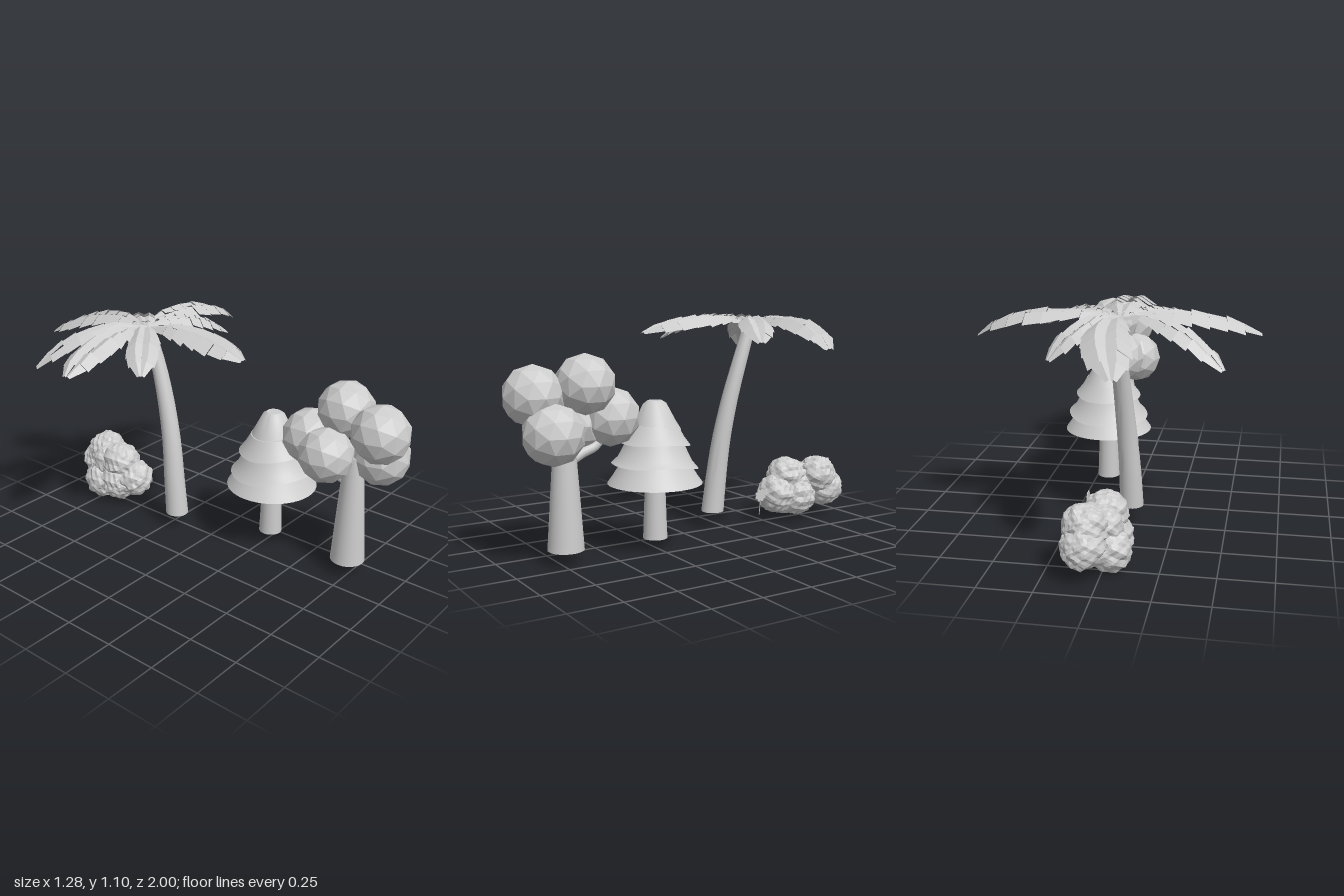
import * as THREE from 'three';
import { toCreasedNormals } from 'three/addons/utils/BufferGeometryUtils.js';

const V = (x, y, z) => new THREE.Vector3(x, y, z);

export function createModel() {
  const model = new THREE.Group();
  const clay = new THREE.MeshStandardMaterial({ color: 0xcccccc, side: THREE.DoubleSide });
  clay.name = 'light grey';

  function group(name) {
    const g = new THREE.Group();
    g.name = name;
    model.add(g);
    return g;
  }
  function add(parent, name, geometry, position = [0, 0, 0]) {
    const mesh = new THREE.Mesh(geometry, clay);
    mesh.name = name;
    mesh.position.set(...position);
    parent.add(mesh);
    return mesh;
  }
  // Move every vertex of a geometry by a rule
  function reshape(geometry, rule) {
    const p = geometry.attributes.position;
    const v = V();
    for (let i = 0; i < p.count; i++) {
      rule(v.fromBufferAttribute(p, i));
      p.setXYZ(i, v.x, v.y, v.z);
    }
    return geometry;
  }
  // Tapered trunk following a curve, with level ends
  function trunk(points, rBottom, rTop) {
    const curve = new THREE.CatmullRomCurve3(points);
    const g = new THREE.CylinderGeometry(rTop, rBottom, 1, 24, 12);
    reshape(g, v => {
      const c = curve.getPoint(THREE.MathUtils.clamp(v.y + 0.5, 0, 1));
      v.set(c.x + v.x, c.y, c.z + v.z);
    });
    return toCreasedNormals(g, 0.7);
  }

  // Round tree: trunk, side branch and five faceted leaf balls
  const roundTree = group('roundTree');
  add(roundTree, 'roundTreeTrunk', trunk([V(0.16, 0.068, 0.725), V(0.16, 0.35, 0.725), V(0.16, 0.62, 0.725)], 0.084, 0.045));
  const branch = new THREE.CatmullRomCurve3([V(0.16, 0.46, 0.71), V(0.16, 0.5, 0.64), V(0.16, 0.53, 0.57), V(0.155, 0.62, 0.51)]);
  add(roundTree, 'branch', new THREE.TubeGeometry(branch, 12, 0.023, 10));
  const balls = [
    [0.145, 0.77, 0.86, 0.14], [0.207, 0.815, 0.64, 0.138], [0.25, 0.61, 0.815, 0.14],
    [0.15, 0.655, 0.49, 0.14], [0.075, 0.625, 0.625, 0.135],
  ];
  for (const [x, y, z, r] of balls) {
    const g = new THREE.IcosahedronGeometry(r, 1);
    g.computeVertexNormals();
    add(roundTree, 'leafBall', g, [x, y, z]);
  }

  // Pine: trunk and four flared tiers with wavy, tilted rims
  const pine = group('pine');
  pine.position.set(0.163, 0, 0.262);
  add(pine, 'pineTrunk', trunk([V(0, 0.057, 0), V(0, 0.2, 0), V(0, 0.36, 0)], 0.058, 0.047));
  function tier(profile, tilt, turn) {
    const points = profile.map(([r, y]) => new THREE.Vector2(r, y));
    const rim = profile[1][0];
    const g = reshape(new THREE.LatheGeometry(points, 40), v => {
      const k = Math.hypot(v.x, v.z) / rim;
      const a = Math.atan2(v.z, v.x) + turn;
      v.y += tilt * k * k * (Math.sin(a) + 0.35 * Math.sin(3 * a));
    });
    add(pine, 'tier', toCreasedNormals(g, 0.6));
  }
  tier([[0, 0.325], [0.225, 0.325], [0.2, 0.36], [0.165, 0.415], [0.14, 0.46], [0, 0.48]], 0, 0);
  tier([[0, 0.42], [0.206, 0.408], [0.175, 0.44], [0.145, 0.5], [0.12, 0.56], [0, 0.57]], 0.018, 0.5);
  tier([[0, 0.53], [0.168, 0.513], [0.138, 0.55], [0.11, 0.6], [0, 0.61]], 0.012, 0.5);
  tier([[0, 0.585], [0.123, 0.57], [0.095, 0.62], [0.055, 0.7], [0.034, 0.715], [0, 0.715]], 0.01, 2);

  // Palm: curved trunk and eight drooping fronds
  const palm = group('palm');
  add(palm, 'palmTrunk', trunk([
    V(-0.038, 0.086, -0.2), V(-0.033, 0.28, -0.22), V(-0.022, 0.47, -0.243), V(-0.01, 0.68, -0.287),
    V(-0.002, 0.87, -0.342), V(-0.005, 1.05, -0.405),
  ], 0.058, 0.033));
  const crown = V(-0.02, 1.05, -0.4);
  let seed = 7;
  const rand = () => (seed = (seed * 16807) % 2147483647) / 2147483647;
  const blade = [0.14, 0.4, 0.65, 0.85, 1, 1, 0.95, 0.72, 0.2];
  // Half cross-section of a frond: midrib, raised shoulder, drooping edge (across, up)
  const section = [[0, -0.12], [0.42, 0.06], [1, -0.34]];

  // Each frond is a creased blade of separate leaflets with a stepped edge
  function frond(tip, width, bend, curl) {
    const along = tip.clone().sub(crown).setY(0);
    const side = V(along.z, 0, -along.x).normalize();
    const drop = crown.y - tip.y + 0.035;
    const steps = blade.length - 1;
    const point = (i, s, [across, up], scale, lift) => {
      const t = i / steps;
      const w = width * blade[i] * scale;
      return crown.clone().addScaledVector(along, t)
        .addScaledVector(side, bend * Math.sin(Math.PI * t) + s * across * w)
        .setY(crown.y + 0.035 * Math.min(1, 4 * t) - drop * t ** curl + up * w + lift);
    };
    const corners = [];
    for (const s of [-1, 1]) {
      for (let i = 0; i < steps; i++) {
        const lift = 0.012 * rand();
        const near = 0.88 + 0.1 * rand(), far = 0.96 + 0.1 * rand();
        for (let j = 0; j < section.length - 1; j++) {
          const a = point(i, s, section[j], near, lift), b = point(i + 1, s, section[j], far, 0);
          const c = point(i + 1, s, section[j + 1], far, 0), d = point(i, s, section[j + 1], near, lift);
          corners.push(...(s > 0 ? [a, b, c, a, c, d] : [a, c, b, a, d, c]));
        }
      }
    }
    const g = new THREE.BufferGeometry().setFromPoints(corners);
    g.computeVertexNormals();
    add(palm, 'frond', g);
  }
  frond(V(-0.09, 0.935, -1), 0.108, -0.042, 2.6);
  frond(V(0.24, 0.925, -0.695), 0.085, 0, 2.8);
  frond(V(0.64, 0.958, -0.385), 0.103, 0.035, 4.5);
  frond(V(0.37, 0.978, -0.2), 0.085, 0, 3.5);
  frond(V(-0.03, 1.02, 0.215), 0.112, 0.025, 4.5);
  frond(V(-0.385, 0.97, -0.1), 0.08, 0, 3);
  frond(V(-0.64, 0.99, -0.32), 0.1, -0.02, 3.5);
  frond(V(-0.5, 0.91, -0.69), 0.082, 0, 3);

  // Bush: crumpled balls
  const bush = group('bush');
  const clumps = [
    [0.005, 0.23, -0.645, 0.103], [0.065, 0.23, -0.81, 0.103], [0.025, 0.145, -0.57, 0.103],
    [0.055, 0.125, -0.68, 0.1], [0.065, 0.16, -0.86, 0.1], [-0.03, 0.103, -0.75, 0.1],
    [0.01, 0.2, -0.73, 0.1], [-0.02, 0.12, -0.64, 0.1],
  ];
  clumps.forEach(([x, y, z, r], n) => {
    const g = reshape(new THREE.IcosahedronGeometry(r, 6), v => {
      const q = v.clone().multiplyScalar(7 / r);
      const bump = Math.sin(q.x * 1.3 + n) * Math.sin(q.y * 1.5 + 2 * n) + Math.sin(q.z * 1.7 + q.x + n) * Math.cos(q.y + q.z);
      v.multiplyScalar(0.98 + 0.055 * bump);
    });
    g.computeVertexNormals();
    add(bush, 'leafClump', g, [x, y, z]);
  });

  // Small flower facing sideways on a thin stem
  const flower = group('flower');
  flower.position.set(0.14, 0.18, -0.375);
  const outline = [];
  for (let i = 0; i < 64; i++) {
    const a = i / 64 * Math.PI * 2;
    const r = 0.024 + 0.01 * Math.abs(Math.sin(4 * a));
    outline.push(new THREE.Vector2(r * Math.cos(a), r * Math.sin(a)));
  }
  const head = add(flower, 'flowerHead', new THREE.ExtrudeGeometry(new THREE.Shape(outline), { depth: 0.004, bevelEnabled: false }));
  head.rotation.y = Math.PI / 2;
  const stem = new THREE.CatmullRomCurve3([V(0, -0.02, 0), V(0, -0.06, 0.002), V(0, -0.1, 0.006)]);
  add(flower, 'stem', new THREE.TubeGeometry(stem, 6, 0.002, 6));

  return model;
}
